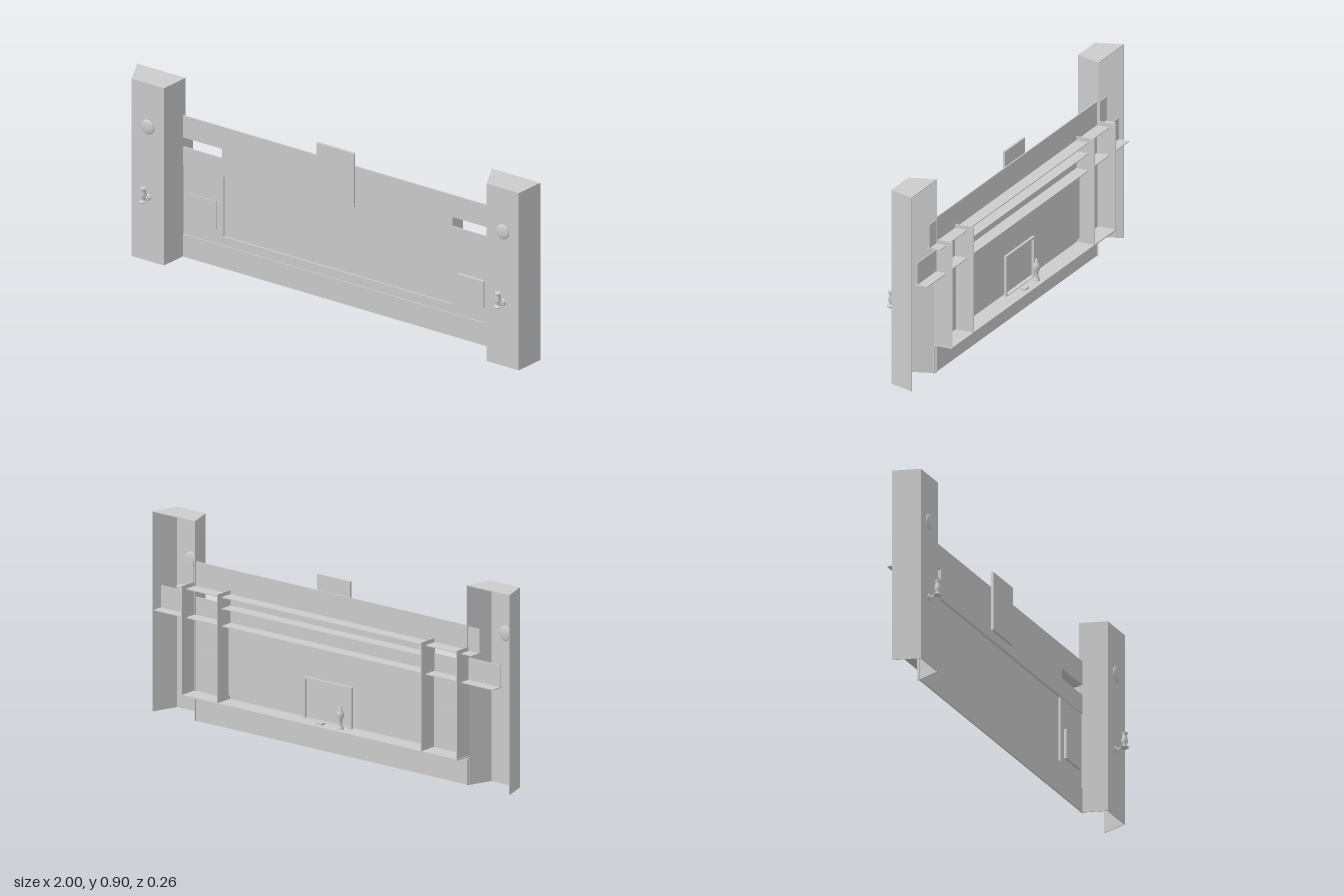
import * as THREE from 'three';

export function createModel() {
  const root = new THREE.Group();
  const grey = new THREE.MeshStandardMaterial({ color: 0xcccccc, side: THREE.DoubleSide });
  grey.name = 'light grey';

  const add = (name, geometry, parent = root) => {
    const mesh = new THREE.Mesh(geometry, grey);
    mesh.name = name;
    parent.add(mesh);
    return mesh;
  };
  // Box given by its limits on each axis
  const slab = (name, x0, x1, y0, y1, z0, z1, parent) => {
    const g = new THREE.BoxGeometry(x1 - x0, y1 - y0, z1 - z0);
    g.translate((x0 + x1) / 2, (y0 + y1) / 2, (z0 + z1) / 2);
    return add(name, g, parent);
  };
  const rect = (Type, x0, x1, y0, y1) => {
    const p = new Type();
    p.moveTo(x0, y0);
    p.lineTo(x1, y0);
    p.lineTo(x1, y1);
    p.lineTo(x0, y1);
    p.closePath();
    return p;
  };
  // Flat board with rectangular openings
  const board = (name, outer, holes, z0, z1) => {
    const shape = rect(THREE.Shape, ...outer);
    holes.forEach((h) => shape.holes.push(rect(THREE.Path, ...h)));
    const g = new THREE.ExtrudeGeometry(shape, { depth: z1 - z0, bevelEnabled: false });
    add(name, g.translate(0, 0, z0));
  };
  // Plan outline (x, z) raised from y0 to y1
  const raisePlan = (name, points, y0, y1, parent) => {
    const shape = new THREE.Shape(points.map(([x, z]) => new THREE.Vector2(x, -z)));
    const g = new THREE.ExtrudeGeometry(shape, { depth: y1 - y0, bevelEnabled: false });
    add(name, g.rotateX(-Math.PI / 2).translate(0, y0, 0), parent);
  };

  // Front wall: base, window wall and upper fascia with side slots
  slab('basePanel', -0.77, 0.77, 0, 0.115, -0.041, -0.035);
  board('windowWall', [-0.77, 0.77, 0.115, 0.47], [[-0.565, 0.565, 0.16, 0.468]], -0.045, -0.039);
  board('upperFascia', [-0.77, 0.77, 0.47, 0.72],
    [[-0.765, -0.57, 0.56, 0.608], [0.57, 0.765, 0.56, 0.608]], -0.041, -0.035);
  slab('windowPane', -0.57, 0.57, 0.155, 0.475, -0.056, -0.052);
  slab('centrePlaque', -0.095, 0.09, 0.515, 0.79, -0.035, -0.024);

  // Shelves along the back
  slab('bottomShelf', -0.775, 0.775, 0.132, 0.137, -0.13, -0.04);
  slab('lowerRail', -0.95, 0.95, 0.476, 0.48, -0.1, -0.04);
  slab('middleRail', -0.57, 0.57, 0.555, 0.559, -0.1, -0.04);
  slab('upperRail', -0.83, 0.83, 0.606, 0.61, -0.1, -0.04);

  for (const s of [-1, 1]) {
    const side = new THREE.Group();
    side.name = s > 0 ? 'leftSide' : 'rightSide';
    root.add(side);
    const across = (name, a, b, ...rest) =>
      slab(name, Math.min(s * a, s * b), Math.max(s * a, s * b), ...rest, side);

    // Upright dividers and the fascia ends behind the pillar
    across('innerDivider', 0.569, 0.573, 0.135, 0.628, -0.13, -0.04);
    across('outerDivider', 0.768, 0.772, 0.135, 0.628, -0.13, -0.04);
    across('upperFasciaEnd', 0.77, 0.835, 0.61, 0.72, -0.052, -0.048);
    across('lowerFasciaEnd', 0.77, 0.95, 0.48, 0.58, -0.052, -0.048);
    across('notice', 0.6, 0.73, 0.19, 0.33, -0.046, s > 0 ? -0.028 : -0.036);

    // Hollow tapered pillar, open at the back and below
    const pillar = new THREE.Group();
    pillar.name = 'pillar';
    pillar.position.x = s * 0.88;
    side.add(pillar);
    raisePlan('pillarWalls', [[-0.12, -0.05], [-0.08, 0.07], [0.08, 0.07], [0.12, -0.05],
      [0.117, -0.05], [0.077, 0.067], [-0.077, 0.067], [-0.117, -0.05]], 0, 0.902, pillar);
    raisePlan('pillarTop', [[-0.12, -0.05], [-0.08, 0.07], [0.08, 0.07], [0.12, -0.05]],
      0.902, 0.905, pillar);

    // Rounded wall badge
    const badge = new THREE.SphereGeometry(0.033, 16, 10);
    badge.scale(1, 1.12, 0.28);
    add('badge', badge, pillar).position.set(0, 0.683, 0.07);

    // Lantern on a bracket
    const profile = [[0, 0.314], [0.012, 0.32], [0.019, 0.325], [0.019, 0.329], [0.009, 0.332],
      [0.011, 0.345], [0.016, 0.357], [0.012, 0.372], [0.011, 0.388], [0.016, 0.392],
      [0.014, 0.396], [0, 0.396]];
    const lantern = new THREE.LatheGeometry(profile.map((p) => new THREE.Vector2(...p)), 8);
    add('lantern', lantern, pillar).position.z = 0.111;
    slab('lanternArm', -0.004, 0.004, 0.322, 0.329, 0.07, 0.1, pillar);
    const plate = new THREE.CylinderGeometry(0.012, 0.017, 0.006, 10).rotateX(Math.PI / 2);
    add('lanternPlate', plate, pillar).position.set(0, 0.325, 0.073);
  }

  // Framed hatch on the back of the wall
  board('hatchFrame', [-0.13, 0.14, 0.137, 0.325], [[-0.12, 0.13, 0.14, 0.315]], -0.068, -0.056);

  // Tap and small handle on the bottom shelf
  const tap = [[0.016, 0.137], [0.016, 0.145], [0.008, 0.155], [0.01, 0.18], [0.018, 0.2],
    [0.012, 0.215], [0.006, 0.225], [0.008, 0.235], [0, 0.24]];
  add('tap', new THREE.LatheGeometry(tap.map((p) => new THREE.Vector2(...p)), 8))
    .position.set(-0.09, 0, -0.095);
  slab('tapSpout', -0.094, -0.086, 0.185, 0.195, -0.11, -0.09);
  slab('shelfHandle', 0.005, 0.04, 0.137, 0.145, -0.108, -0.085);

  return root;
}
